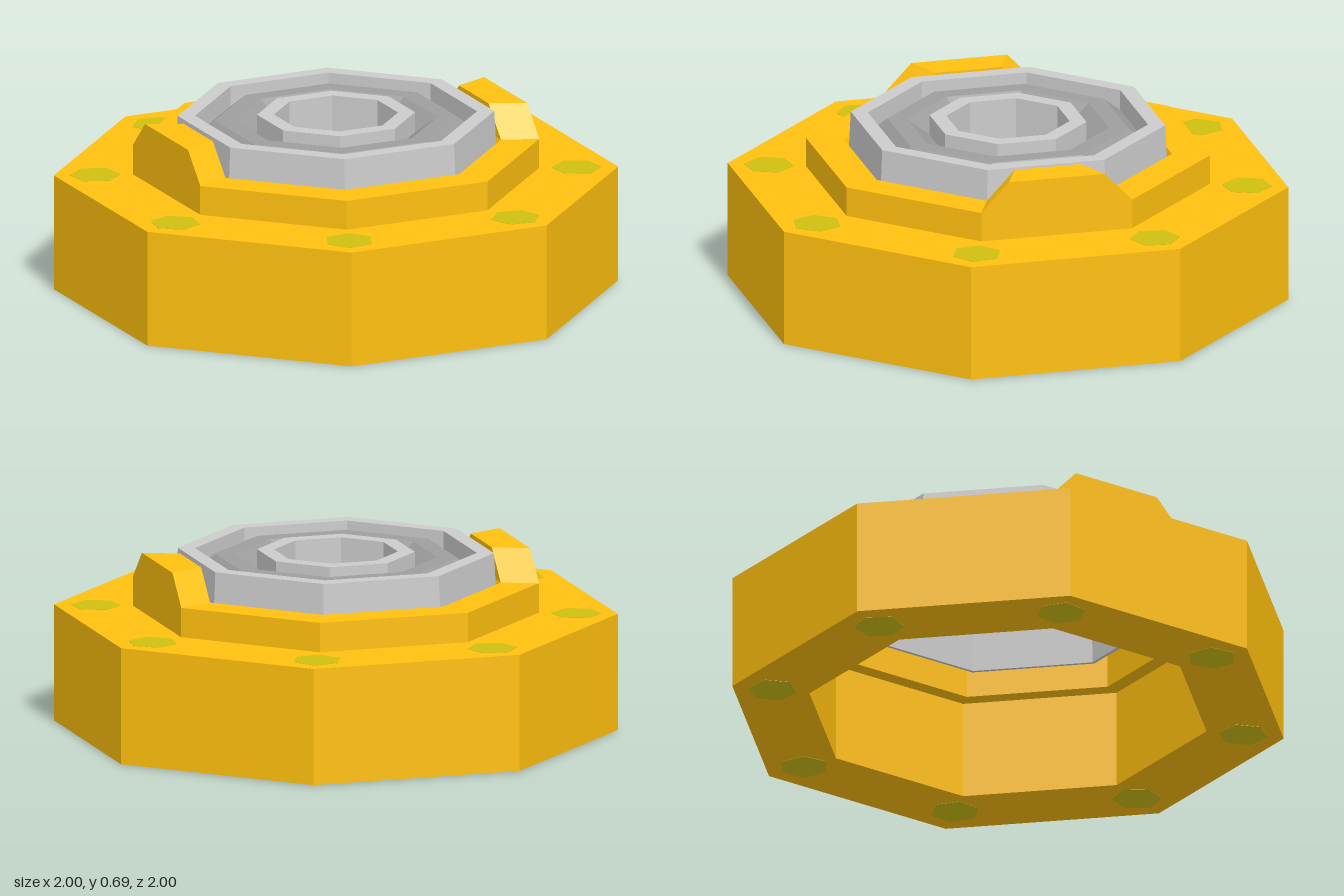
import * as THREE from 'three';

const SIDES = 8;
const TO_CORNER = 1 / Math.cos(Math.PI / SIDES); // flat-to-flat half width -> corner radius

const material = (color) =>
  new THREE.MeshStandardMaterial({ color, flatShading: true, side: THREE.DoubleSide });

// Octagonal turned part; profile is [half width across flats, height]
function octagon(name, profile, mat) {
  const points = profile.map(([r, y]) => new THREE.Vector2(r * TO_CORNER, y));
  const geometry = new THREE.LatheGeometry(points, SIDES, Math.PI / SIDES).toNonIndexed();
  geometry.computeVertexNormals();
  const mesh = new THREE.Mesh(geometry, mat);
  mesh.name = name;
  return mesh;
}

// Wedge lug: narrows towards the top and towards the centre
function lug(mat) {
  const geometry = new THREE.BoxGeometry(1, 1, 1).toNonIndexed();
  const p = geometry.attributes.position;
  for (let i = 0; i < p.count; i++) {
    const outer = p.getX(i) > 0, top = p.getY(i) > 0;
    const half = (outer ? 0.3 : 0.24) - (top ? 0.11 : 0);
    p.setXYZ(i, outer ? 0.72 : 0.585, top ? 0.685 : 0.57, Math.sign(p.getZ(i)) * half);
  }
  geometry.computeVertexNormals();
  return new THREE.Mesh(geometry, mat);
}

export function createModel() {
  const model = new THREE.Group();
  model.name = 'octagonalFitting';
  const yellow = material(0xffc00e);
  const grey = material(0xcccccc);
  const darkGrey = material(0x9e9e9e);
  const olive = material(0xcfbf10);

  // Wide base with a stepped collar and an open underside
  model.add(octagon('baseAndCollar', [
    [1, 0], [1, 0.455], [0.72, 0.455], [0.72, 0.57], [0.585, 0.57],
    [0.569, 0.53], [0.66, 0.53], [0.66, 0.39], [0.72, 0.39], [0.72, 0], [1, 0],
  ], yellow));

  // Thin outer rim, open below
  model.add(octagon('rim', [
    [0.5, 0.605], [0.555, 0.65], [0.56, 0.45], [0.572, 0.45], [0.561, 0.685],
    [0.5, 0.685], [0.5, 0.605],
  ], grey));

  // Raised ridge between rim and tube
  model.add(octagon('ridge', [
    [0.28, 0.605], [0.5, 0.605], [0.43, 0.665], [0.36, 0.665], [0.28, 0.605],
  ], darkGrey));

  // Central tube with a low dome on its floor
  model.add(octagon('tubeAndDome', [
    [0, 0.475], [0.24, 0.475], [0.28, 0.605], [0.28, 0.685], [0.22, 0.685],
    [0.22, 0.48], [0.07, 0.54], [0, 0.54],
  ], grey));

  // Lugs on both sides of the cup
  for (const [name, turn] of [['leftLug', 0], ['rightLug', Math.PI]]) {
    const part = lug(yellow);
    part.name = name;
    part.rotation.y = turn;
    model.add(part);
  }

  // Hexagonal bolts through the base, one near each corner
  const boltGeometry = new THREE.CylinderGeometry(0.097, 0.097, 0.457, 6);
  for (let i = 0; i < SIDES; i++) {
    const angle = (i + 0.5) * Math.PI * 2 / SIDES;
    const bolt = new THREE.Mesh(boltGeometry, olive);
    bolt.name = 'bolt' + (i + 1);
    bolt.position.set(0.923 * Math.sin(angle), 0.2275, 0.923 * Math.cos(angle));
    bolt.rotation.y = angle;
    model.add(bolt);
  }
  return model;
}
